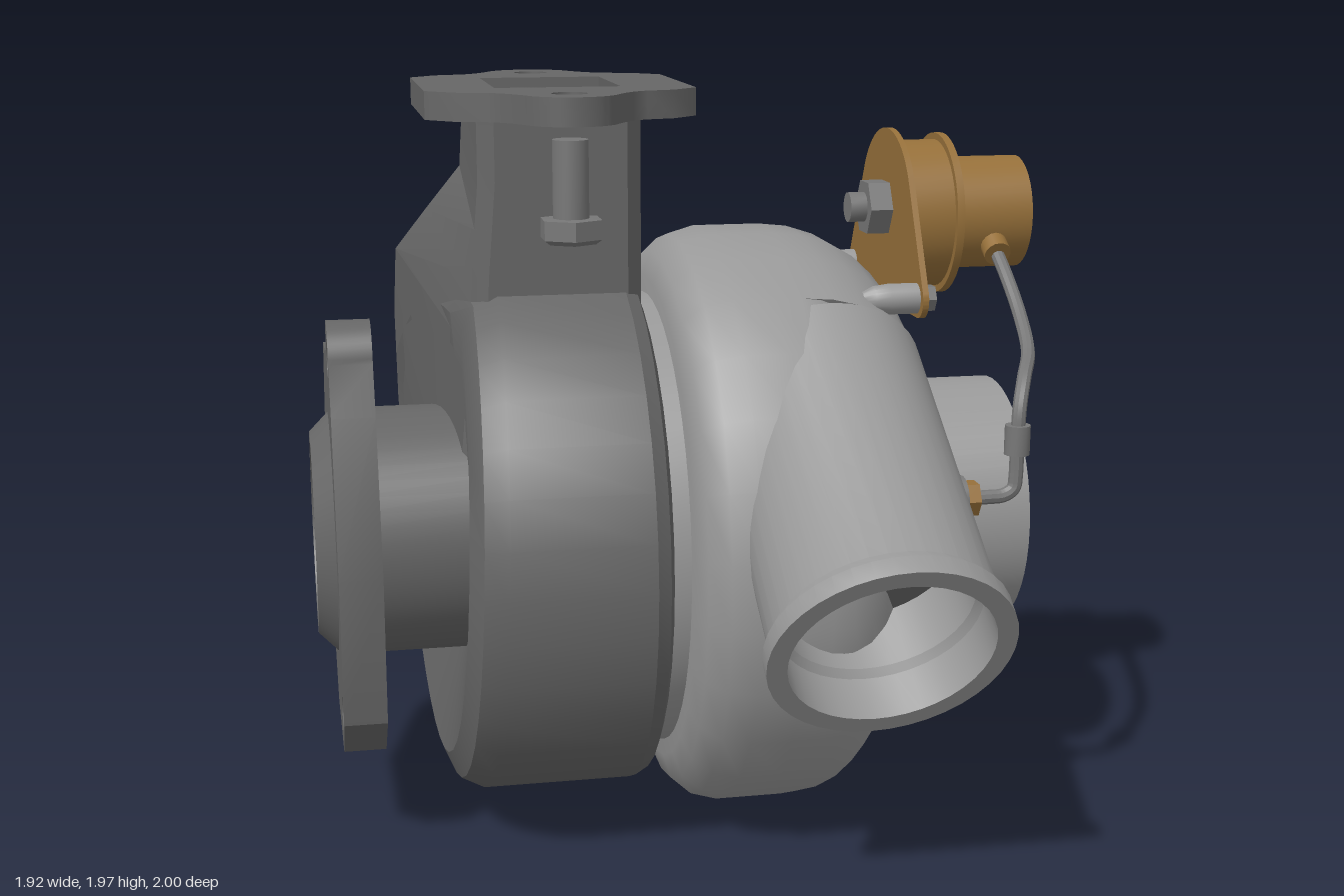
import * as THREE from 'three';
import { toCreasedNormals } from 'three/addons/utils/BufferGeometryUtils.js';

const AY = 0.79, AZ = -0.21; // main shaft axis, running along x
const PI = Math.PI;

export function createModel() {
  const root = new THREE.Group();
  const mat = (name, color) => {
    const m = new THREE.MeshStandardMaterial({ color });
    m.name = name;
    return m;
  };
  const alloy = mat('light alloy', 0x999999);
  const iron = mat('cast iron', 0x666666);
  const brass = mat('brass', 0x96703a);
  const steel = mat('steel', 0x777777);

  const add = (name, geo, material, pos = [0, 0, 0], crease = 0.6) => {
    const mesh = new THREE.Mesh(toCreasedNormals(geo, crease), material);
    mesh.name = name;
    mesh.position.set(...pos);
    root.add(mesh);
    return mesh;
  };
  const lathe = (pts, segs = 40) =>
    new THREE.LatheGeometry(pts.map(p => new THREE.Vector2(p[0], p[1])), segs);
  // profile is [radius, x], turned about the x axis
  const latheX = (pts, segs) => lathe(pts, segs).rotateZ(-PI / 2);
  const rodX = (r, x0, x1, segs = 24) =>
    latheX([[0, x0], [r, x0], [r, x1], [0, x1]], segs);
  // skin over rows of points
  const skin = rows => {
    const n = rows[0].length, index = [];
    for (let j = 0; j < rows.length - 1; j++)
      for (let i = 0; i < n - 1; i++) {
        const a = j * n + i, b = a + 1, c = a + n, d = c + 1;
        index.push(a, b, c, b, d, c);
      }
    const g = new THREE.BufferGeometry();
    g.setAttribute('position', new THREE.Float32BufferAttribute(rows.flat(2), 3));
    g.setIndex(index);
    return g;
  };
  // ring of [x, radius] profiles (left to right) around the shaft axis
  const volute = (start, steps, profile) => {
    const rows = [];
    for (let j = 0; j <= steps; j++) {
      const t = j / steps, a = start + t * 2 * PI;
      rows.push(profile(t).map(([x, r]) => [x, AY + r * Math.sin(a), AZ + r * Math.cos(a)]));
    }
    return rows;
  };
  // plate in the y-z plane, shape drawn as (-z, y)
  const plateX = (shape, t) =>
    new THREE.ExtrudeGeometry(shape, { depth: t, bevelEnabled: false, curveSegments: 10 }).rotateY(PI / 2);
  const hole = (shape, x, y, r) => shape.holes.push(new THREE.Path().absarc(x, y, r, 0, 2 * PI, true));

  // Compressor volute, its section shrinking around the spiral
  const comp = volute(1.0, 28, t => {
    const xr = 0.615 - 0.135 * t;
    const p = [[-0.05, 0], [-0.05, 0.66], [-0.03, 0.725], [0.02, 0.77], [0.09, 0.79], [0.2, 0.79]];
    for (let k = 0; k <= 10; k++) {
      const a = PI / 2 - k * 0.24;
      p.push([0.27 + (xr - 0.27) * Math.cos(a), 0.51 + 0.28 * Math.sin(a)]);
    }
    return p;
  });
  comp.push(comp[0]);
  add('compressorHousing', skin(comp), alloy, [0, 0, 0], 0.75);

  // Compressor outlet pipe with beaded end
  const outlet = add('compressorOutlet', lathe([[0.28, 0.02], [0.28, 0.84], [0.3, 0.87], [0.3, 0.92],
    [0.25, 0.92], [0.25, 0.8], [0.235, 0.78], [0.235, 0.6]]), alloy, [0.34, 1.22, 0.065]);
  const core = add('outletCore', new THREE.CylinderGeometry(0.24, 0.24, 0.02, 40).translate(0, 0.61, 0), iron,
    [0.34, 1.22, 0.065]);
  outlet.rotation.x = core.rotation.x = 2.147;

  // Compressor air inlet
  add('compressorInlet', latheX([[0.345, 0.35], [0.345, 0.93], [0.285, 0.93], [0.285, 0.74],
    [0.235, 0.62], [0.235, 0.3]], 48), alloy, [0, AY, AZ]);

  // Bearing housing between the two volutes
  add('bearingHousing', rodX(0.615, -0.14, -0.03, 48), alloy, [0, AY, AZ]);

  // Turbine housing
  const drum = volute(70 * PI / 180, 36, t => {
    const deg = t * 360;
    const xl = deg < 70 ? -0.57 - 0.13 * deg / 70 : -0.7 + 0.13 * (deg - 70) / 290;
    return [[-0.56, 0.28], [xl, 0.61], [xl + 0.03, 0.68], [xl + 0.09, 0.71],
      [-0.15, 0.71], [-0.115, 0.69], [-0.1, 0.65], [-0.1, 0]];
  });
  add('turbineHousing', skin(drum), iron, [0, 0, 0], 0.5);

  // Turbine inlet neck, flaring back into the volute
  const neckRows = [[1.91, -0.52, -0.52, -0.42], [1.74, -0.52, -0.53, -0.43], [1.62, -0.53, -0.62, -0.48],
    [1.5, -0.54, -0.7, -0.57], [1.3, -0.55, -0.7, -0.74], [1.0, -0.58, -0.69, -0.87]];
  add('turbineNeck', skin(neckRows.map(([y, xf, xb, zb]) => {
    const c = 0.04, xr = -0.104, zf = 0.04;
    return [[xr - c, zf], [xf + c, zf], [xf, zf - c], [xb, zb + c], [xb + c, zb], [xr - c, zb],
      [xr, zb + c], [xr, zf - c], [xr - c, zf]].map(([x, z]) => [x, y, z]);
  })), iron, [0, 0, 0], 0.5);
  add('neckTunnel', skin([1.95, 1.5].map(y => [[-0.47, -0.02], [-0.15, -0.02], [-0.15, -0.39],
    [-0.47, -0.39], [-0.47, -0.02]].map(([x, z]) => [x, y, z]))), iron);
  add('tunnelFloor', new THREE.BoxGeometry(0.33, 0.02, 0.38), iron, [-0.31, 1.5, -0.205]);

  // Square-port flange on top of the neck
  const top = new THREE.Shape();
  top.moveTo(0.34, -0.25);
  for (const s of [1, -1]) {
    top.lineTo(s * 0.34, s * 0.25);
    top.lineTo(s * 0.27, s * 0.32);
    top.lineTo(s * 0.2, s * 0.34);
    top.quadraticCurveTo(s * 0.15, s * 0.36, s * 0.105, s * 0.457);
    const o = s > 0 ? 0 : PI;
    top.absarc(0, s * 0.4, 0.12, o + 0.5, o + PI - 0.5, false);
    top.quadraticCurveTo(-s * 0.15, s * 0.36, -s * 0.2, s * 0.34);
    top.lineTo(-s * 0.27, s * 0.32);
    top.lineTo(-s * 0.34, s * 0.25);
    hole(top, 0, s * 0.39, 0.045);
  }
  const port = new THREE.Path();
  port.moveTo(-0.16, -0.18).lineTo(-0.16, 0.19).lineTo(0.16, 0.19).lineTo(0.16, -0.18).closePath();
  top.holes.push(port);
  add('inletFlange', new THREE.ExtrudeGeometry(top, { depth: 0.07, bevelEnabled: false, curveSegments: 12 })
    .rotateX(-PI / 2), iron, [-0.31, 1.9, -0.2]);

  // Hanging flange bolts
  for (const z of [0.19, -0.58]) {
    add('flangeBoltShank', new THREE.CylinderGeometry(0.045, 0.045, 0.22, 20), steel, [-0.31, 1.75, z]);
    add('flangeBoltHead', lathe([[0, 0], [0.065, 0], [0.082, 0.012], [0.082, 0.06], [0, 0.065]], 6),
      steel, [-0.31, 1.607, z], 0.3);
  }

  // Turbine outlet and its three-eared flange
  add('turbineOutlet', latheX([[0.21, -0.6], [0.21, -0.78], [0.245, -0.96], [0.27, -0.96], [0.33, -0.9],
    [0.33, -0.5]], 48), iron, [0, AY, AZ], 0.4);
  const ears = new THREE.Shape();
  ears.moveTo(-0.25, 0.79);
  for (const [u, v] of [[-0.2, 0.39], [-0.05, 0.26], [0.35, 0.26], [0.63, 0.45], [0.68, 0.74]]) ears.lineTo(u, v);
  ears.absarc(0.73, 0.85, 0.1, -1, 1.6, false);
  for (const [u, v] of [[0.66, 1.0], [0.45, 1.26], [0.2, 1.28]]) ears.lineTo(u, v);
  ears.absarc(0, 1.3, 0.1, 0.3, 3.1, false);
  ears.lineTo(-0.15, 1.18);
  for (const [u, v] of [[0.73, 0.85], [0, 1.3], [-0.08, 0.38]]) hole(ears, u, v, 0.045);
  // bore sits just inside the outlet wall
  hole(ears, 0.21, 0.79, 0.32);
  add('outletFlange', plateX(ears, 0.11), iron, [-0.91, 0, 0]);

  // Impeller wheels: faceted hub, thin radial blades and hex nut
  const wheel = (name, x, dir, r, blades, material) => {
    const g = new THREE.Group();
    g.name = name;
    const part = (n, geo, m) => {
      const mesh = new THREE.Mesh(toCreasedNormals(geo, 0.3), m);
      mesh.name = n;
      g.add(mesh);
      return mesh;
    };
    part('hub', latheX([[0, -0.02], [r, -0.02], [r, 0], [0.055, 0.12], [0.055, 0.18], [0, 0.18]], blades)
      .rotateX(PI / 2), material);
    part('nut', rodX(0.062, 0.17, 0.22, 6), steel);
    part('shaftTip', rodX(0.03, 0.2, 0.25, 12), steel);
    for (let i = 0; i < blades; i++) {
      const arm = new THREE.Group();
      arm.rotation.x = i * 2 * PI / blades;
      const b = part('blade', new THREE.BoxGeometry(0.16, r - 0.04, 0.012), material);
      b.position.set(0.08, 0.04 + (r - 0.04) / 2, 0);
      arm.add(b);
      g.add(arm);
    }
    g.position.set(x, AY, AZ);
    if (dir < 0) g.rotation.y = PI;
    root.add(g);
  };
  wheel('compressorWheel', 0.36, 1, 0.235, 6, alloy);
  wheel('turbineWheel', -0.62, -1, 0.21, 8, steel);

  // Actuator: bracket, canister and recessed end
  const bracket = new THREE.Shape();
  bracket.absarc(-0.14, 1.43, 0.05, 2.5, 1.5 * PI, false);
  bracket.absarc(0.47, 1.43, 0.05, -PI / 2, 0.64, false);
  bracket.absarc(0.17, 1.6, 0.24, 0.55, PI - 0.55, false);
  add('actuatorBracket', plateX(bracket, 0.016), brass, [0.595, 0, 0]);
  add('actuatorCan', latheX([[0, 0.6], [0.197, 0.6], [0.197, 0.73], [0.215, 0.73], [0.215, 0.75], [0.15, 0.75],
    [0.15, 0.96], [0.085, 0.96], [0.065, 0.91], [0.065, 0.86], [0, 0.86]]), brass, [0, 1.61, -0.17]);
  add('actuatorRodNut', rodX(0.078, 0.535, 0.597, 6), steel, [0, 1.63, -0.17], 0.3);
  add('actuatorRod', rodX(0.04, 0.49, 0.54, 16), steel, [0, 1.63, -0.17]);

  // Bracket posts and screws
  for (const z of [0.13, -0.47]) {
    add('bracketPost', latheX([[0, 0.44], [0.02, 0.45], [0.035, 0.48], [0.04, 0.52], [0.04, 0.596]], 20),
      alloy, [0, 1.43, z]);
    add('bracketScrew', rodX(0.036, 0.6, 0.64, 6), steel, [0, 1.43, z], 0.3);
  }

  // Pressure line with collar and brass fittings
  const tube = pts => new THREE.TubeGeometry(
    new THREE.CatmullRomCurve3(pts.map(p => new THREE.Vector3(...p))), 40, 0.018, 10);
  add('pressureHose', tube([[0.86, 1.54, -0.05], [0.865, 1.47, 0.05], [0.865, 1.38, 0.17], [0.845, 1.31, 0.29],
    [0.8, 1.265, 0.39], [0.775, 1.2, 0.435], [0.77, 1.1, 0.44]]), steel);
  add('pressureElbow', tube([[0.77, 1.1, 0.44], [0.77, 1.03, 0.44], [0.765, 0.995, 0.44], [0.74, 0.978, 0.44],
    [0.7, 0.975, 0.44], [0.62, 0.975, 0.44]]), steel);
  add('hoseCollar', new THREE.CylinderGeometry(0.032, 0.032, 0.075, 16), steel, [0.77, 1.12, 0.44]);
  add('outletFittingWasher', rodX(0.058, 0.6, 0.632, 20), steel, [0, 0.975, 0.44]);
  add('outletFitting', rodX(0.046, 0.62, 0.668, 6), brass, [0, 0.975, 0.44], 0.3);
  const nipple = add('canFitting', new THREE.CylinderGeometry(0.036, 0.036, 0.07, 16), brass, [0.86, 1.535, -0.035]);
  nipple.rotation.x = 2.1;

  return root;
}
